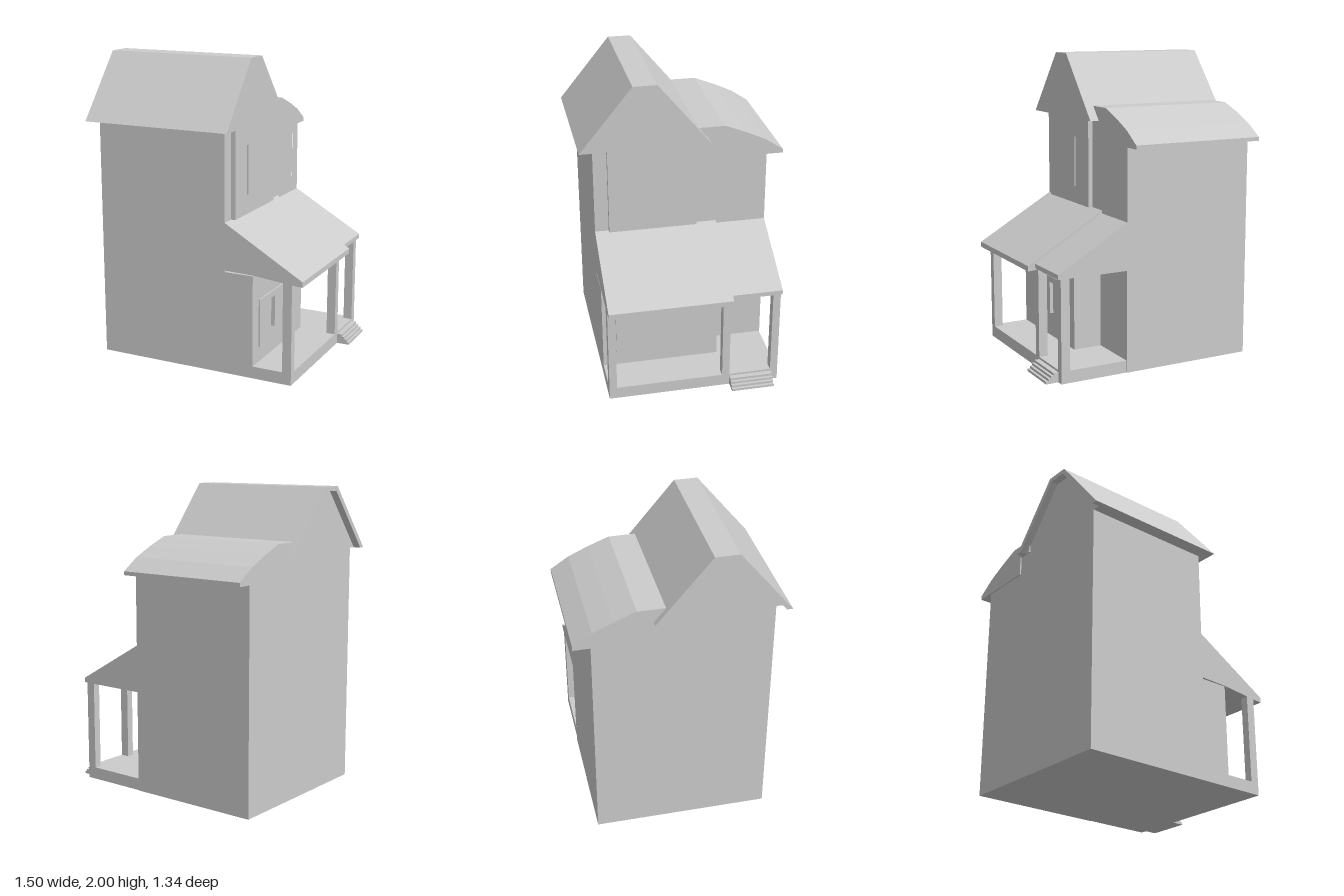
import * as THREE from 'three';

const mat = new THREE.MeshStandardMaterial({ color: 0xcccccc });

function polygon(points, holes = []) {
  const shape = new THREE.Shape(points.map(([a, b]) => new THREE.Vector2(a, b)));
  for (const h of holes) shape.holes.push(new THREE.Path(h.map(([a, b]) => new THREE.Vector2(a, b))));
  return shape;
}

const rect = ([a0, a1, b0, b1]) => [[a0, b0], [a1, b0], [a1, b1], [a0, b1]];

export function createModel() {
  const house = new THREE.Group();
  house.name = 'house';

  const add = (name, geometry) => {
    const mesh = new THREE.Mesh(geometry, mat);
    mesh.name = name;
    house.add(mesh);
  };

  // Box given by its limits
  const box = (name, x0, x1, y0, y1, z0, z1) =>
    add(name, new THREE.BoxGeometry(x1 - x0, y1 - y0, z1 - z0)
      .translate((x0 + x1) / 2, (y0 + y1) / 2, (z0 + z1) / 2));

  // (x, y) profile extruded along z
  const alongZ = (name, points, z0, z1) =>
    add(name, new THREE.ExtrudeGeometry(polygon(points), { depth: z1 - z0, bevelEnabled: false })
      .translate(0, 0, z0));

  // (z, y) profile extruded along x, with optional holes
  const alongX = (name, points, x0, x1, holes = []) => {
    const flip = (pts) => pts.map(([z, y]) => [-z, y]);
    add(name, new THREE.ExtrudeGeometry(polygon(flip(points), holes.map(flip)), { depth: x1 - x0, bevelEnabled: false })
      .rotateY(Math.PI / 2).translate(x0, 0, 0));
  };

  // House body; its side faces form the backs of the recessed windows
  alongZ('frontBody', [[-0.7, 0], [0.34, 0], [0.34, 0.68], [0.16, 0.68], [0.16, 1.58], [-0.7, 1.58]], -0.2, 0.58);
  box('rearBody', -0.7, 0.16, 0, 1.45, -0.56, -0.2);

  // Walls with window and door openings
  const windows = (y0, y1) => [rect([0.24, 0.44, y0, y1]), rect([-0.04, 0.175, y0, y1])];
  const upper = windows(1.09, 1.45);
  const lower = windows(0.21, 0.46);
  alongX('upperWall', rect([-0.2, 0.58, 0.68, 1.58]), 0.16, 0.2, upper);
  alongX('upperWindowBay', rect([-0.09, 0.49, 1, 1.58]), 0.2, 0.23, upper);
  alongX('lowerWall', rect([-0.2, 0.58, 0, 0.68]), 0.34, 0.395, lower);
  alongX('lowerWindowFrame', rect([-0.09, 0.49, 0.18, 0.5]), 0.395, 0.405, lower);
  alongX('rearWall', rect([-0.56, -0.2, 0, 1.45]), 0.16, 0.2,
    [rect([-0.47, -0.28, 1.09, 1.45 - 0.002]), rect([-0.47, -0.28, 0.08, 0.46])]);

  // Front roof: solid with a flat ridge, and a thin overhang past the end wall
  const outline = [[0.67, 1.58], [0.325, 2], [0.17, 2], [-0.18, 1.58]];
  alongX('frontRoof', outline, -0.7, 0.26);
  alongX('roofOverhang', [...outline, [-0.14, 1.58], [0.185, 1.97], [0.31, 1.97], [0.63, 1.58]], -0.75, -0.7);

  // Rear roof bending down to the eave
  alongX('rearRoof', [[-0.1, 1.67], [-0.28, 1.67], [-0.42, 1.615], [-0.55, 1.555], [-0.67, 1.475],
    [-0.67, 1.45], [-0.2, 1.45], [-0.2, 1.58], [-0.1, 1.58]], -0.71, 0.2);

  // Porch roofs
  alongZ('porchRoof', [[0.2, 1], [0.2, 0.69], [0.4, 0.685], [0.66, 0.66], [0.73, 0.655], [0.73, 0.69]], -0.225, 0.58);
  alongZ('rearPorchRoof', [[0.2, 0.98], [0.2, 0.67], [0.68, 0.67], [0.68, 0.7]], -0.56, -0.225);

  // Porch floor
  box('porchFloor', 0.395, 0.66, 0, 0.08, -0.2, 0.58);
  box('rearPorchFloor', 0.2, 0.66, 0, 0.08, -0.555, -0.2);

  // Porch posts
  for (const z of [0.555, -0.2, -0.53]) box('porchPost', 0.6, 0.66, 0.08, 0.675, z - 0.025, z + 0.025);

  // Steps
  for (let i = 0; i < 4; i++) box('step', 0.66, 0.745 - i * 0.017, i * 0.0165, (i + 1) * 0.0165, -0.51, -0.225);

  return house;
}
